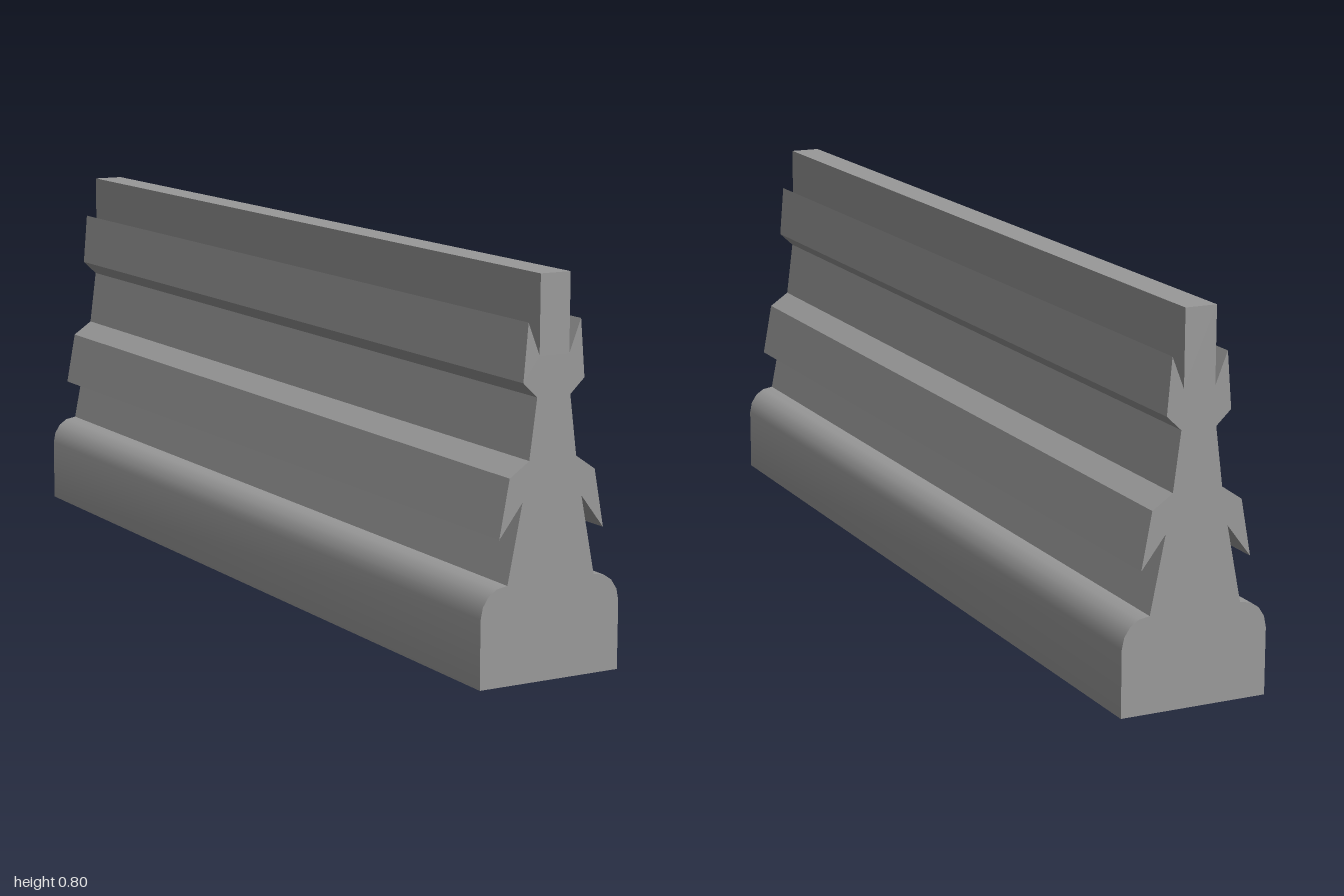
import * as THREE from 'three';
import { toCreasedNormals } from 'three/addons/utils/BufferGeometryUtils.js';

export function createModel() {
  const model = new THREE.Group();
  model.name = 'barrier';

  const concrete = new THREE.MeshStandardMaterial({ color: 0x999999 });
  concrete.name = 'concrete grey';

  // Half cross-section from the foot up to the top edge
  const half = [
    [0.16, 0], [0.16, 0.14],
    [0.155, 0.164], [0.142, 0.184], [0.124, 0.196], [0.1, 0.2], // rounded shoulder
    [0.068, 0.36], [0.12, 0.292], [0.098, 0.41], // lower barb, pointing down
    [0.054, 0.44], [0.038, 0.562],
    [0.07, 0.592], [0.06, 0.708], [0.034, 0.642], // upper barb, pointing up
    [0.034, 0.8],
  ];
  const mirrored = half.map(([x, y]) => [-x, y]).reverse();
  const profile = new THREE.Shape([...half, ...mirrored].map(([x, y]) => new THREE.Vector2(x, y)));

  // Extrude along the length; only the shoulder is shaded smoothly
  const geometry = new THREE.ExtrudeGeometry(profile, { depth: 2, bevelEnabled: false });
  geometry.translate(0, 0, -1);
  const body = new THREE.Mesh(toCreasedNormals(geometry, 0.5), concrete);
  body.name = 'barrierBody';
  model.add(body);

  return model;
}
